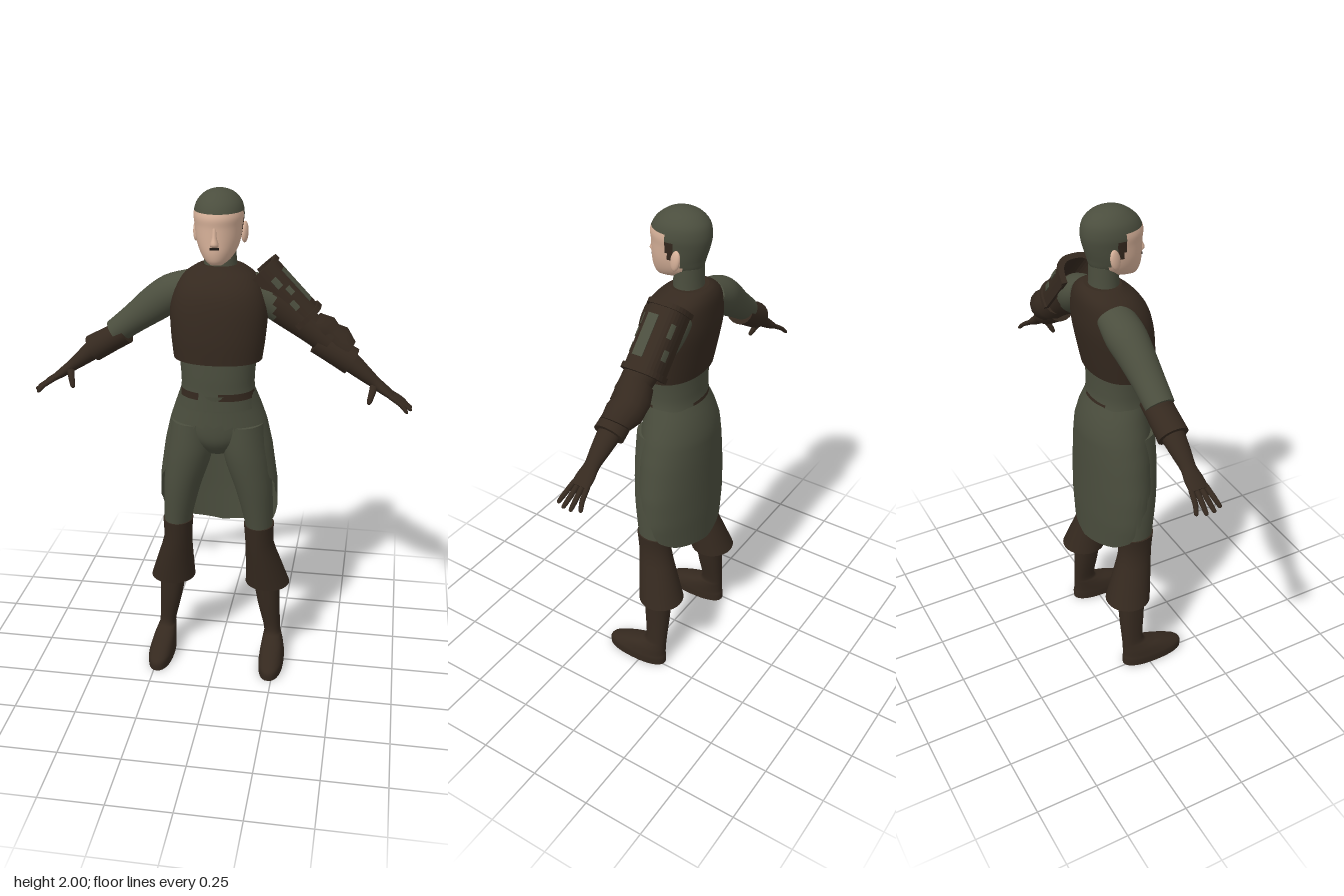
import * as THREE from 'three';

const mat = (name, color, side = THREE.FrontSide) => {
  const m = new THREE.MeshStandardMaterial({ color, side });
  m.name = name;
  return m;
};

// Catmull-Rom blend of section rows, sub steps per span
function refine(rows, sub) {
  if (sub < 2) return rows;
  const out = [], at = i => rows[Math.max(0, Math.min(rows.length - 1, i))];
  for (let i = 0; i < rows.length - 1; i++) for (let k = 0; k < sub; k++) {
    const t = k / sub;
    out.push(rows[i].map((b, c) => {
      const a = at(i - 1)[c], d = at(i + 1)[c], e = at(i + 2)[c];
      return b + 0.5 * t * (d - a + t * (2 * a - 5 * b + 4 * d - e + t * (3 * (b - d) + e - a)));
    }));
  }
  out.push(rows[rows.length - 1]);
  return out;
}

// Skin over oval sections [x, y, z, radius across, radius in z]; pick() chooses the material of a face
function loft(name, rows, mats, { sub = 4, n = 28, pow = 2, flat = false, pick = () => 0 } = {}) {
  mats = [mats].flat();
  const S = refine(rows, sub), pos = [], lists = mats.map(() => []);
  const curve = v => Math.sign(v) * Math.abs(v) ** (2 / pow);
  S.forEach(([x, y, z, ru, rz], i) => {
    const a = S[Math.max(0, i - 1)], b = S[Math.min(S.length - 1, i + 1)];
    const t = flat ? new THREE.Vector2(0, b[1] - a[1]) : new THREE.Vector2(b[0] - a[0], b[1] - a[1]);
    t.normalize();
    for (let j = 0; j < n; j++) {
      const q = j / n * Math.PI * 2, c = curve(Math.cos(q)) * ru;
      pos.push(x + t.y * c, y - t.x * c, z + curve(Math.sin(q)) * rz);
    }
  });
  const point = i => new THREE.Vector3().fromArray(pos, i * 3);
  for (let i = 0; i < S.length - 1; i++) for (let j = 0; j < n; j++) {
    const a = i * n + j, b = i * n + (j + 1) % n, c = a + n, d = b + n;
    const mid = point(a).add(point(d)).multiplyScalar(0.5);
    lists[pick(mid)].push(a, c, d, a, d, b);
  }
  // end caps with their own corners
  [0, S.length - 1].forEach((row, end) => {
    const base = pos.length / 3;
    for (let j = 0; j < n; j++) pos.push(...point(row * n + j).toArray());
    pos.push(...S[row].slice(0, 3));
    for (let j = 0; j < n; j++) {
      const a = base + j, b = base + (j + 1) % n;
      lists[pick(point(base + n))].push(base + n, ...(end ? [b, a] : [a, b]));
    }
  });
  const g = new THREE.BufferGeometry();
  g.setAttribute('position', new THREE.Float32BufferAttribute(pos, 3));
  g.setIndex(lists.flat());
  let start = 0;
  lists.forEach((l, i) => { g.addGroup(start, l.length, i); start += l.length; });
  g.computeVertexNormals();
  const mesh = new THREE.Mesh(g, mats.length > 1 ? mats : mats[0]);
  mesh.name = name;
  return mesh;
}

// Section from height, side radius, front and back depth
const ring = ([y, rx, front, back]) => [0, y, (front + back) / 2, rx, (front - back) / 2];

// Piecewise linear lookup in [key, value...] rows
function lookup(rows, k, c = 1) {
  let i = 0;
  while (i < rows.length - 2 && k > rows[i + 1][0]) i++;
  const a = rows[i], b = rows[i + 1];
  return THREE.MathUtils.lerp(a[c], b[c], THREE.MathUtils.clamp((k - a[0]) / (b[0] - a[0]), 0, 1));
}

export function createModel() {
  const model = new THREE.Group();
  const green = mat('green cloth', 0x4b4e3e), brown = mat('brown leather', 0x35291f);
  const skin = mat('skin', 0xd8b29a), dark = mat('dark hair', 0x1e1814);
  const skirtMat = mat('skirt cloth', 0x4a4d3d, THREE.DoubleSide);
  const add = (...m) => model.add(...m);

  // Head with close hair cap, face and sideburns
  add(loft('head', [
    [1.733, 0.025, 0.065, 0.02], [1.75, 0.05, 0.077, -0.06], [1.78, 0.07, 0.084, -0.11],
    [1.82, 0.083, 0.085, -0.125], [1.87, 0.09, 0.086, -0.14], [1.91, 0.094, 0.088, -0.145],
    [1.95, 0.085, 0.068, -0.136], [1.98, 0.06, 0.033, -0.107], [1.995, 0.03, 0, -0.07], [2, 0.004, -0.03, -0.038],
  ].map(ring), [green, skin, brown], {
    sub: 6, n: 64, flat: true,
    pick: p => p.y < 1.922 && p.z > -0.02 || p.y < 1.83 && p.z > -0.07 ? 1
      : p.y < 1.9 && p.y > 1.83 && p.z > -0.05 ? 2 : 0,
  }));
  add(loft('nose', [[0, 1.805, 0.08, 0.015, 0.01], [0, 1.815, 0.084, 0.016, 0.021],
    [0, 1.84, 0.082, 0.01, 0.014], [0, 1.875, 0.08, 0.008, 0.008]], skin, { n: 12, flat: true }));
  const tuft = new THREE.Mesh(new THREE.BoxGeometry(0.034, 0.008, 0.008), dark);
  tuft.name = 'moustache';
  tuft.position.set(0, 1.799, 0.085);
  add(tuft);
  for (const s of [1, -1]) {
    const ear = new THREE.Mesh(new THREE.SphereGeometry(1, 16, 12), skin);
    ear.name = 'ear';
    ear.scale.set(0.012, 0.04, 0.022);
    ear.position.set(s * 0.092, 1.835, -0.062);
    ear.rotation.set(-0.2, s * -0.3, 0);
    add(ear);
  }
  add(loft('neck', [[1.64, 0.075, 0, -0.13], [1.7, 0.064, -0.005, -0.118], [1.79, 0.06, -0.01, -0.115]].map(ring),
    green, { flat: true }));

  // Torso
  add(loft('vest', [[1.36, 0.172, 0.117, -0.13], [1.45, 0.183, 0.117, -0.148], [1.55, 0.188, 0.106, -0.165],
    [1.62, 0.172, 0.086, -0.168], [1.67, 0.142, 0.05, -0.164], [1.7, 0.1, 0.012, -0.15], [1.712, 0.074, 0, -0.132]].map(ring),
  brown, { n: 40, pow: 2.2, flat: true }));
  add(loft('waist', [[1.17, 0.158, 0.104, -0.135], [1.24, 0.144, 0.104, -0.12], [1.3, 0.144, 0.106, -0.118],
    [1.38, 0.152, 0.106, -0.12]].map(ring), [green, brown], {
    sub: 8, n: 64, pow: 2.2, flat: true,
    pick: p => Math.abs(p.y - 1.227) < 0.014
      && (p.z > 0 ? p.x > 0.01 || p.x < -0.055 && p.x > -0.14 : Math.abs(p.x + 0.02) < 0.07) ? 1 : 0,
  }));
  add(loft('hips', [[0.97, 0.05, 0.05, -0.06], [1.02, 0.12, 0.088, -0.11], [1.08, 0.165, 0.1, -0.13],
    [1.19, 0.154, 0.1, -0.128]].map(ring), green, { flat: true }));

  // Open fronted skirt with a ragged hem
  const wide = [[0.57, 0.222, 0.132, -0.03], [0.72, 0.242, 0.136, -0.03], [0.85, 0.238, 0.136, -0.03],
    [1, 0.216, 0.137, -0.03], [1.1, 0.193, 0.135, -0.03], [1.17, 0.169, 0.125, -0.024], [1.23, 0.147, 0.115, -0.01]];
  const hem = [[0, 1.1], [28, 1.08], [48, 0.96], [77, 0.8], [107, 0.645], [130, 0.61], [180, 0.573]];
  const cols = 144, rowsN = 20, skirt = new THREE.PlaneGeometry(1, 1, cols, rowsN), sp = skirt.attributes.position;
  for (let i = 0; i < sp.count; i++) {
    const u = sp.getX(i), v = sp.getY(i) + 0.5, deg = Math.abs(u) * 360, a = u * Math.PI * 2;
    const tooth = deg < 100 ? 0.028 * (deg / 12.5 % 1) : 0;
    const y = THREE.MathUtils.lerp(lookup(hem, deg) + tooth, 1.23, v);
    sp.setXYZ(i, Math.sin(a) * lookup(wide, y), y, lookup(wide, y, 3) + Math.cos(a) * lookup(wide, y, 2));
  }
  skirt.computeVertexNormals();
  const skirtMesh = new THREE.Mesh(skirt, skirtMat);
  skirtMesh.name = 'skirt';
  add(skirtMesh);

  for (const s of [1, -1]) {
    const side = rows => rows.map(([x, ...r]) => [s * x, ...r]);

    // Legs and boots
    add(loft('trouserLeg', side([[0.17, 0.58, -0.018, 0.054, 0.066], [0.168, 0.65, -0.015, 0.057, 0.072],
      [0.148, 0.8, -0.008, 0.074, 0.088], [0.122, 0.92, -0.004, 0.088, 0.098], [0.108, 1, -0.004, 0.09, 0.102],
      [0.1, 1.1, -0.01, 0.085, 0.105]]), green, { flat: true }));
    add(loft('bootCuff', side([[0.203, 0.345, -0.067, 0.093, 0.092], [0.186, 0.46, -0.04, 0.073, 0.08],
      [0.171, 0.56, -0.018, 0.058, 0.07], [0.169, 0.645, -0.014, 0.062, 0.075]]), brown, { sub: 2, flat: true }));
    add(loft('boot', side([[0.237, 0, 0.033, 0.051, 0.138], [0.237, 0.03, 0.033, 0.052, 0.138],
      [0.236, 0.048, 0.025, 0.05, 0.127], [0.234, 0.075, -0.005, 0.045, 0.097], [0.231, 0.1, -0.04, 0.038, 0.062],
      [0.228, 0.13, -0.057, 0.034, 0.046], [0.212, 0.25, -0.054, 0.046, 0.052], [0.2, 0.37, -0.05, 0.056, 0.055]]),
    brown, { pow: 2.3, flat: true }));

    // Arms: plain sleeve on the right, leather sleeve below the shoulder on the left
    add(loft('sleeve', side([[0.11, 1.625, -0.075, 0.058, 0.07], [0.19, 1.587, -0.075, 0.073, 0.076],
      [0.26, 1.54, -0.07, 0.07, 0.068], [0.34, 1.48, -0.065, 0.058, 0.06], [0.42, 1.42, -0.063, 0.05, 0.055]]),
    [green, brown], { pick: p => p.x > 0.215 ? 1 : 0 }));
    add(loft('forearm', side([[0.4, 1.425, -0.063, 0.045, 0.05], [0.5, 1.352, -0.06, 0.04, 0.044],
      [0.56, 1.305, -0.056, 0.031, 0.036], [0.605, 1.27, -0.054, 0.023, 0.029], [0.64, 1.244, -0.052, 0.019, 0.036],
      [0.675, 1.22, -0.05, 0.013, 0.037]]), brown));
    add(loft('sleeveCuff', side([[0.378, 1.425, -0.063, 0.051, 0.056], [0.43, 1.395, -0.062, 0.051, 0.056],
      [0.512, 1.348, -0.061, 0.054, 0.059]]), brown, { sub: 1, n: 20 }));

    // Fingers and thumb
    for (let k = 0; k < 4; k++) {
      const z = -0.078 + k * 0.019, tip = -0.095 + k * 0.031, end = k % 3 ? 0.752 : 0.738;
      add(loft('finger', side([[0.665, 1.226, z, 0.01, 0.01], [0.71, 1.197, (z + tip) / 2, 0.009, 0.01],
        [end - 0.006, 1.174, tip, 0.007, 0.008], [end, 1.169, tip, 0.002, 0.003]]), brown, { n: 10, sub: 3 }));
    }
    add(loft('thumb', side([[0.605, 1.265, -0.04, 0.017, 0.018], [0.597, 1.235, -0.018, 0.013, 0.014],
      [0.589, 1.205, -0.004, 0.01, 0.01], [0.588, 1.196, -0.002, 0.004, 0.004]]), brown, { n: 12 }));
  }

  // Left elbow guard
  add(loft('elbowGuard', [[0.355, 1.478, -0.075, 0.058, 0.065], [0.4, 1.45, -0.085, 0.07, 0.072],
    [0.425, 1.43, -0.09, 0.06, 0.066], [0.455, 1.415, -0.088, 0.066, 0.07], [0.49, 1.385, -0.075, 0.05, 0.058]],
  brown, { sub: 1, n: 14 }));

  // Left shoulder plate: curved shells pushed along the arm
  const along = new THREE.Vector3(0.18, -0.19, 0), length = along.length();
  along.normalize();
  const out = new THREE.Vector3(-along.y, along.x, 0), zAxis = new THREE.Vector3(0, 0, 1);
  const plate = (name, m, inner, outer, from, to, s0, s1) => {
    const edge = (grow, a) => {
      const f = v => Math.sign(v) * Math.abs(v) ** 0.66;
      return new THREE.Vector2(f(Math.cos(a)) * (0.074 + grow), f(Math.sin(a)) * (0.098 + grow));
    };
    const pts = [], steps = 16;
    for (let i = 0; i <= steps; i++) pts.push(edge(outer, from + (to - from) * i / steps));
    for (let i = steps; i >= 0; i--) pts.push(edge(inner, from + (to - from) * i / steps));
    const g = new THREE.ExtrudeGeometry(new THREE.Shape(pts), { depth: (s1 - s0) * length, bevelEnabled: false });
    const base = new THREE.Vector3(0.13, 1.67, -0.083).addScaledVector(along, s1 * length);
    g.applyMatrix4(new THREE.Matrix4().makeBasis(zAxis, out, along.clone().negate()).setPosition(base));
    const mesh = new THREE.Mesh(g, m);
    mesh.name = name;
    add(mesh);
  };
  plate('shoulderPlate', brown, -0.014, 0, 0, Math.PI, 0, 1);
  plate('shoulderPlateRim', brown, -0.01, 0.008, 0, Math.PI, 0, 0.07);
  plate('shoulderPlateRim', brown, -0.01, 0.008, 0, Math.PI, 0.92, 1);
  // worn green patches on the plate
  [[0.3, 0.6, 0.2, 0.36], [0.55, 0.85, 0.42, 0.55], [0.25, 0.5, 0.62, 0.76], [1.25, 1.6, 0.2, 0.8],
    [2.3, 2.6, 0.25, 0.45], [2.5, 2.8, 0.6, 0.75]].forEach(([a, b, s0, s1]) =>
    plate('wornPatch', green, -0.003, 0.003, a, b, s0, s1));

  return model;
}
